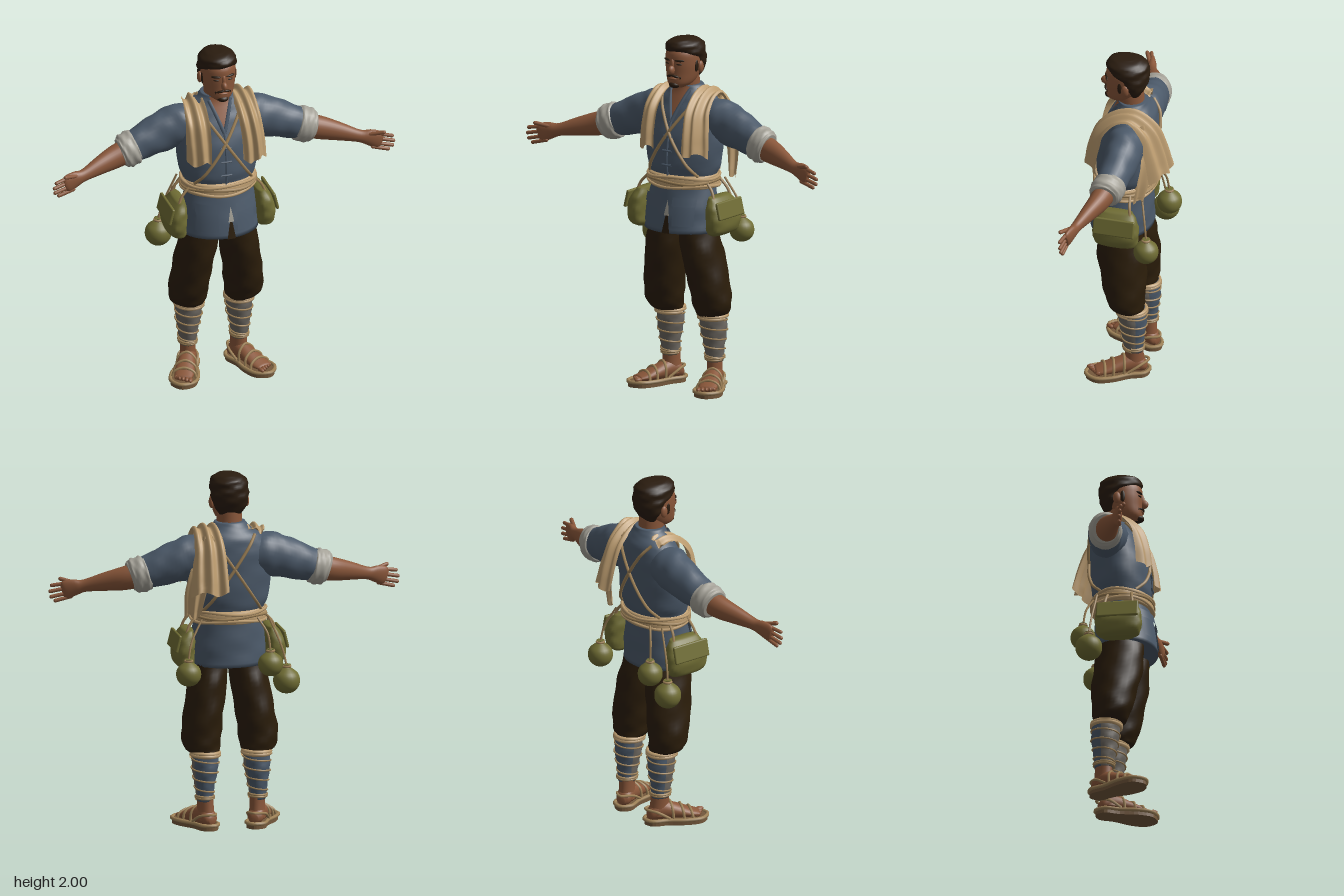
import * as THREE from 'three';
import { RoundedBoxGeometry } from 'three/addons/geometries/RoundedBoxGeometry.js';

const V = (x, y, z) => new THREE.Vector3(x, y, z);
const colours = {
  skin: 0x8a573a, shirt: 0x4c5a6a, pants: 0x2b1d0a, hair: 0x2a1c0f, cloth: 0xbd9d70,
  rope: 0xa08358, olive: 0x706d34, cuff: 0xa5a298, wrap: 0x6c6760, sole: 0x75593c,
};

export function createModel() {
  const model = new THREE.Group();
  const mat = {};
  for (const [name, color] of Object.entries(colours)) {
    mat[name] = new THREE.MeshStandardMaterial({ color, side: THREE.DoubleSide });
    mat[name].name = name;
  }
  const add = (name, geo, material, parent = model) => {
    const m = new THREE.Mesh(geo, material);
    m.name = name;
    parent.add(m);
    return m;
  };

  // Smoothly resample rings [x, y, z, radiusA, radiusB]
  const smooth = (rings, n = 24) => {
    const c = new THREE.CatmullRomCurve3(rings.map(r => V(r[0], r[1], r[2])), false, 'catmullrom');
    const d = new THREE.CatmullRomCurve3(rings.map(r => V(r[3], r[4], 0)), false, 'catmullrom');
    return Array.from({ length: n + 1 }, (_, i) => {
      const p = c.getPoint(i / n), q = d.getPoint(i / n);
      return [p.x, p.y, p.z, q.x, q.y];
    });
  };
  const mirror = (rings, s) => rings.map(r => [r[0] * s, ...r.slice(1)]);

  // Closed skin over rings stacked along an axis; e squares the section, w wrinkles it
  const loft = (rings, axis, { seg = 28, e = 1, w = 0, tilt = 0, split = false } = {}) => {
    const pos = [], front = [], back = [];
    const pw = t => Math.sign(t) * Math.abs(t) ** e;
    rings.forEach(([x, y, z, ra, rb], i) => {
      for (let j = 0; j < seg; j++) {
        const a = (j / seg) * Math.PI * 2;
        const k = 1 + w * (Math.sin(3 * a + i * 0.9) + 0.7 * Math.sin(5 * a - i * 1.3));
        const p = ra * k * pw(Math.cos(a)), q = rb * k * pw(Math.sin(a));
        if (axis === 'y') pos.push(x + p, y, z + q);
        else if (axis === 'x') pos.push(x + p * tilt, y + p, z + q);
        else pos.push(x + p, y + q, z);
      }
    });
    const n = rings.length, a0 = n * seg;
    for (const r of [rings[0], rings[n - 1]]) pos.push(r[0], r[1], r[2]);
    for (let j = 0; j < seg; j++) {
      const k = (j + 1) % seg, list = split && j > seg / 2 && j < seg - 2 ? back : front;
      list.push(a0, j, k, a0 + 1, (n - 1) * seg + k, (n - 1) * seg + j);
      for (let i = 0; i < n - 1; i++) {
        const a = i * seg + j, b = i * seg + k;
        list.push(a, a + seg, b, b, a + seg, b + seg);
      }
    }
    const idx = front.concat(back);
    let vol = 0;
    const P = i => V(pos[i * 3], pos[i * 3 + 1], pos[i * 3 + 2]);
    for (let i = 0; i < idx.length; i += 3) vol += P(idx[i]).dot(P(idx[i + 1]).cross(P(idx[i + 2])));
    if (vol < 0) for (let i = 0; i < idx.length; i += 3) [idx[i], idx[i + 1]] = [idx[i + 1], idx[i]];
    const g = new THREE.BufferGeometry();
    g.setAttribute('position', new THREE.Float32BufferAttribute(pos, 3));
    g.setIndex(idx);
    if (split) { g.addGroup(0, front.length, 0); g.addGroup(front.length, back.length, 1); }
    g.computeVertexNormals();
    return g;
  };

  // Sheet from a rule fn(u, v), both 0..1
  const sheet = (nu, nv, fn) => {
    const g = new THREE.PlaneGeometry(1, 1, nu, nv), p = g.attributes.position;
    for (let i = 0; i < p.count; i++) {
      const v = fn(p.getX(i) + 0.5, p.getY(i) + 0.5);
      p.setXYZ(i, v.x, v.y, v.z);
    }
    g.computeVertexNormals();
    return g;
  };
  const tube = (pts, r, closed = false) =>
    new THREE.TubeGeometry(new THREE.CatmullRomCurve3(pts, closed), pts.length * 5, r, 6, closed);
  const ball = (name, x, y, z, sx, sy, sz, m, parent) => {
    const b = add(name, new THREE.SphereGeometry(1, 16, 12), m, parent);
    b.position.set(x, y, z);
    b.scale.set(sx, sy, sz);
    return b;
  };
  const limb = (name, a, b, r, m, parent) => {
    const l = add(name, new THREE.CapsuleGeometry(r, a.distanceTo(b), 4, 10), m, parent);
    l.position.copy(a).lerp(b, 0.5);
    l.quaternion.setFromUnitVectors(V(0, 1, 0), b.clone().sub(a).normalize());
  };

  // Tunic, from the hem to the collar
  const body = smooth([[0, .92, .07, .218, .178], [0, 1.05, .062, .211, .167], [0, 1.2, .05, .192, .15],
    [0, 1.3, .045, .222, .167], [0, 1.45, .035, .24, .163], [0, 1.57, .015, .235, .142],
    [0, 1.65, .002, .185, .118], [0, 1.7, .005, .115, .092], [0, 1.735, .01, .085, .078]], 48);
  add('tunic', loft(body, 'y', { seg: 40, w: .008 }), mat.shirt);
  // Point on the tunic; dir 1 is the front, -1 the back
  const onBody = (x, y, off = .008, dir = 1) => {
    let i = 0;
    while (i < body.length - 2 && body[i + 1][1] < y) i++;
    const a = body[i], b = body[i + 1], t = (y - a[1]) / (b[1] - a[1]);
    const L = k => a[k] + (b[k] - a[k]) * t;
    return V(x, y, L(2) + dir * (off + L(4) * Math.sqrt(Math.max(0, 1 - (x / L(3)) ** 2))));
  };
  const patch = (name, x0, x1, y0, y1, off, m) =>
    add(name, sheet(8, 8, (u, v) => onBody(x0 + (x1 - x0) * u, y0 + (y1 - y0) * v, off)), m);

  add('openNeck', sheet(8, 10, (u, v) => onBody((u - .5) * v * .12, 1.55 + v * .18, .006)), mat.skin);
  add('frontSlit', sheet(4, 6, (u, v) => onBody(.018 + (u - .5) * (1 - v) * .05, .92 + v * .14, .007)), mat.pants);
  add('undershirt', sheet(4, 4, (u, v) => onBody(.018 + (u - .5) * (1 - v) * .034, 1.02 + v * .09, .011)), mat.cuff);
  add('frontSeam', tube([1.24, 1.32, 1.4, 1.48, 1.55].map(y => onBody(0, y, .003)), .006), mat.shirt);
  for (const y of [1.3, 1.38, 1.46]) add('toggle', tube([-.03, 0, .03].map(x => onBody(x, y, .006)), .006), mat.shirt);
  for (const s of [1, -1]) {
    add('lapel', tube([1.54, 1.6, 1.66, 1.71].map(y => onBody(s * (y - 1.54) * .36, y, .004)), .011), mat.shirt);
    patch('pocket', s * .055, s * .165, .965, 1.09, .012, mat.shirt);
    patch('pocketFlap', s * .05, s * .17, 1.075, 1.125, .02, mat.shirt);
  }

  // Head, hair and face
  add('neck', loft(smooth([[0, 1.6, .0, .085, .08], [0, 1.7, .015, .072, .072], [0, 1.8, .03, .07, .08]]), 'y'), mat.skin);
  add('head', loft(smooth([[0, 1.728, .1, .035, .045], [0, 1.755, .078, .07, .083], [0, 1.81, .055, .09, .106],
    [0, 1.87, .05, .098, .112], [0, 1.93, .045, .092, .11], [0, 1.98, .04, .05, .06]]), 'y'), mat.skin);
  add('hair', loft(smooth([[0, 1.775, -.01, .06, .03], [0, 1.83, -.008, .095, .06], [0, 1.88, .003, .105, .085],
    [0, 1.925, .032, .108, .114], [0, 1.965, .041, .1, .118], [0, 1.99, .045, .068, .088], [0, 2, .045, .03, .045]], 30),
  'y', { w: .022 }), mat.hair);
  ball('nose', 0, 1.832, .168, .017, .026, .026, mat.skin);
  ball('noseBridge', 0, 1.86, .158, .012, .035, .014, mat.skin);
  ball('beard', 0, 1.745, .137, .034, .02, .034, mat.hair);
  ball('mouth', 0, 1.781, .157, .026, .008, .012, mat.skin);
  for (const s of [1, -1]) {
    ball('ear', s * .1, 1.84, .03, .014, .034, .022, mat.skin);
    ball('eyebrow', s * .042, 1.886, .15, .028, .007, .009, mat.hair).rotation.y = s * .4;
    ball('eye', s * .04, 1.865, .151, .016, .005, .007, mat.hair).rotation.y = s * .35;
    ball('moustache', s * .018, 1.797, .16, .025, .007, .009, mat.hair).rotation.set(0, s * .3, -s * .25);
    ball('sideburn', s * .094, 1.85, .062, .008, .035, .014, mat.hair);
    limb('jawBeard', V(s * .04, 1.79, .142), V(s * .032, 1.75, .138), .008, mat.hair);
  }

  for (const s of [1, -1]) {
    // Arms
    const arm = (name, rings, m, w) =>
      add(name, loft(smooth(mirror(rings, s)), 'x', { w, tilt: s * .32 }), m);
    arm('sleeve', [[.08, 1.55, 0, .09, .09], [.18, 1.55, 0, .115, .108], [.28, 1.525, -.005, .113, .1],
      [.4, 1.485, .005, .098, .09], [.51, 1.447, .02, .08, .08]], mat.shirt, .018);
    arm('rolledCuff', [[.46, 1.462, .013, .08, .078], [.48, 1.456, .016, .096, .092],
      [.535, 1.44, .024, .094, .09], [.56, 1.434, .03, .076, .074]], mat.cuff, .024);
    arm('forearm', [[.5, 1.448, .025, .068, .066], [.6, 1.422, .045, .063, .059], [.7, 1.4, .08, .049, .045],
      [.8, 1.376, .118, .034, .03], [.85, 1.368, .132, .044, .027], [.9, 1.352, .145, .05, .021], [.92, 1.345, .15, .035, .014]], mat.skin, 0);
    const fingers = [[1.388, .975, 1.375], [1.362, .985, 1.342], [1.335, .98, 1.312], [1.312, .957, 1.29]];
    fingers.forEach(([y0, x1, y1], i) =>
      limb('finger', V(s * (.9 - i * .01), y0, .147), V(s * x1, y1, .168 - i * .004), .0105, mat.skin));
    limb('thumb', V(s * .85, 1.39, .142), V(s * .925, 1.408, .178), .0115, mat.skin);

    // Breeches
    add('breechesLeg', loft(smooth(mirror([[.14, .425, -.012, .07, .08], [.158, .455, 0, .1, .095], [.16, .53, .013, .112, .113],
      [.146, .65, .025, .11, .13], [.122, .8, .045, .109, .138], [.104, .93, .057, .1, .122], [.095, 1.06, .055, .085, .11]], s), 30),
    'y', { w: .02 }), mat.pants);

    // Shin wraps with bindings
    const shin = smooth(mirror([[.15, .16, -.035, .045, .052], [.15, .25, -.03, .056, .064],
      [.147, .35, -.028, .073, .078], [.145, .44, -.02, .074, .078]], s));
    add('shinWrap', loft(shin, 'y', { w: .02, split: true }), [mat.wrap, mat.shirt]);
    const bind = (name, y0, y1, turns, r) => {
      const n = Math.ceil(turns * 10);
      add(name, tube(Array.from({ length: n + 1 }, (_, i) => {
        const y = y0 + (y1 - y0) * i / n, q = shin[Math.round((y - .16) / .28 * 24)], a = i * Math.PI / 5;
        return V(q[0] + (q[3] + .003) * Math.cos(a), y, q[2] + (q[4] + .003) * Math.sin(a));
      }), r), name === 'kneeBand' ? mat.cloth : mat.rope);
    };
    bind('kneeBand', .41, .435, 2, .012);
    bind('shinCord', .18, .4, 4, .005);
    bind('ankleCord', .17, .19, 2, .007);

    // Foot and straw sandal, turned out
    const foot = new THREE.Group();
    foot.name = 'foot';
    foot.position.set(s * .15, 0, -.03);
    foot.rotation.y = s * .42;
    model.add(foot);
    add('ankle', loft(smooth([[0, .05, -.01, .047, .06], [0, .12, -.008, .043, .053], [0, .2, -.005, .043, .05]]), 'y'), mat.skin, foot);
    add('bareFoot', loft(smooth([[0, .055, -.078, .02, .02], [0, .065, -.055, .043, .042], [0, .08, 0, .047, .058],
      [0, .068, .08, .052, .044], [0, .052, .16, .056, .027], [0, .045, .215, .045, .014]]), 'z'), mat.skin, foot);
    for (let i = 0; i < 5; i++)
      ball('toe', s * (i - 2) * .021, .044, .23 - i * .009, .013 - i * .001, .013, .023, mat.skin, foot);
    const outline = [[0, -.095], [.05, -.06], [.054, .03], [.075, .13], [.066, .22], [0, .265],
      [-.066, .22], [-.075, .13], [-.054, .03], [-.05, -.06]];
    const sole = new THREE.ExtrudeGeometry(new THREE.Shape(
      new THREE.CatmullRomCurve3(outline.map(p => V(p[0], -p[1], 0)), true).getPoints(40).map(p => new THREE.Vector2(p.x, p.y))),
    { depth: .03, bevelEnabled: false });
    add('sandalSole', sole.rotateX(-Math.PI / 2), mat.sole, foot);
    add('sandalRim', tube(outline.map(p => V(p[0], .03, p[1])), .011, true), mat.rope, foot);
    for (const [z, h, w] of [[.17, .083, .068], [.12, .104, .064], [.06, .127, .057]])
      add('sandalStrap', tube([V(-w, .03, z), V(-w * .8, h * .75, z - .005), V(0, h, z - .01), V(w * .8, h * .75, z - .005), V(w, .03, z)], .008), mat.rope, foot);
    add('heelStrap', tube([V(-.055, .04, .04), V(-.05, .08, -.03), V(0, .09, -.09), V(.05, .08, -.03), V(.055, .04, .04)], .008), mat.rope, foot);

    // Crossed cords on the chest and back
    for (const dir of [1, -1]) add('crossCord', tube(Array.from({ length: 9 }, (_, i) =>
      onBody(s * (.125 - .29 * i / 8), 1.67 - .43 * i / 8, .009, dir)), .009), mat.rope);

    // Hip satchel
    const z = s > 0 ? .04 : .06;
    add('satchel', loft(smooth(mirror([[.245, .91, z, .028, .085], [.256, .935, z, .052, .12], [.261, 1, z, .059, .131],
      [.252, 1.07, z, .053, .122], [.235, 1.13, z, .025, .09]], s)), 'y', { e: .75, w: .015 }), mat.olive);
    const flap = add('satchelFlap', new RoundedBoxGeometry(.018, .1, .235, 3, .008), mat.olive);
    flap.position.set(s * .306, 1.06, z);
    flap.rotation.z = s * .24;
    for (const d of [-.08, .08])
      add('satchelStrap', tube([V(s * .255, 1.11, z + d), V(s * .235, 1.16, z + d * .9), V(s * .19, 1.21, z + d * .8)], .008), mat.rope);
  }

  // Waist sash with rope turns
  add('sash', loft(smooth([[0, 1.165, .05, .195, .15], [0, 1.175, .05, .21, .171], [0, 1.23, .05, .21, .171], [0, 1.245, .05, .195, .15]], 10),
    'y', { seg: 40, w: .008 }), mat.cloth);
  for (let k = 0; k < 3; k++)
    add('sashRope', tube(Array.from({ length: 24 }, (_, i) => {
      const a = i / 24 * Math.PI * 2;
      return V(.211 * Math.cos(a), 1.18 + k * .024 + .007 * Math.sin(a * 3 + k * 2), .05 + .172 * Math.sin(a));
    }), .009, true), k === 1 ? mat.rope : mat.cloth);

  // Draped cloths: a path of [x, y, z, halfWidth] with folds across; the outer edge falls back by bend
  const drape = (name, path, folds, depth, bend) => {
    const c = new THREE.CatmullRomCurve3(path.map(p => V(p[0], p[1], p[2])));
    const w = new THREE.CatmullRomCurve3(path.map((p, i) => V(p[3], i, 0)));
    add(name, sheet(30, 36, (u, v) => {
      const p = c.getPoint(v), t = c.getTangent(v), k = u * 2 - 1;
      const outer = Math.max(0, k * Math.sign(p.x));
      const off = depth * Math.sin(k * folds * Math.PI + v * 2) - (.02 + bend * t.y * t.y) * outer * outer;
      p.x += k * w.getPoint(v).x;
      p.y += -t.z * off + (v < .03 || v > .97 ? .014 * Math.sin(k * 4) : 0);
      p.z += t.y * off;
      return p;
    }), mat.cloth);
  };
  drape('rightShoulderCloth', [[-.15, 1.385, .222, .063], [-.15, 1.5, .208, .064], [-.148, 1.61, .17, .062],
    [-.145, 1.69, .08, .058], [-.142, 1.708, 0, .052], [-.138, 1.692, -.06, .045]], 2, .012, .05);
  drape('leftShoulderCloth', [[.172, 1.375, .23, .075], [.168, 1.5, .212, .072], [.158, 1.61, .172, .07],
    [.148, 1.695, .075, .068], [.143, 1.712, -.03, .07], [.14, 1.63, -.14, .08], [.145, 1.5, -.195, .092], [.15, 1.37, -.228, .1]], 2.5, .014, .06);
  drape('leftBackTail', [[.15, 1.66, -.09, .04], [.185, 1.5, -.14, .055], [.218, 1.35, -.125, .055], [.232, 1.215, -.1, .04]], 2, .01, .03);

  // Gourds hung from the sash
  const profile = [[0, -1], [.5, -.88], [.88, -.5], [1, 0], [.87, .48], [.5, .82], [.27, .98], [.25, 1.15], [.3, 1.2], [0, 1.22]];
  const lathe = new THREE.SplineCurve(profile.map(p => new THREE.Vector2(...p))).getPoints(30).map(p => p.setX(Math.max(0, p.x)));
  for (const [x, y, z, r] of [[-.3, .838, -.1, .075], [-.2, .945, -.145, .07], [.262, .905, -.135, .07]]) {
    const g = add('gourd', new THREE.LatheGeometry(lathe, 24), mat.olive);
    g.position.set(x, y, z);
    g.scale.setScalar(r);
    add('gourdCollar', new THREE.TorusGeometry(r * .28, .007, 6, 14).rotateX(Math.PI / 2).translate(x, y + r * 1.05, z), mat.rope);
    add('gourdCord', tube([V(x, y + r * 1.1, z), V(x * .93, y + r + .1, z * .9), V(x * .68, 1.2, z * .66)], .006), mat.rope);
  }
  return model;
}
